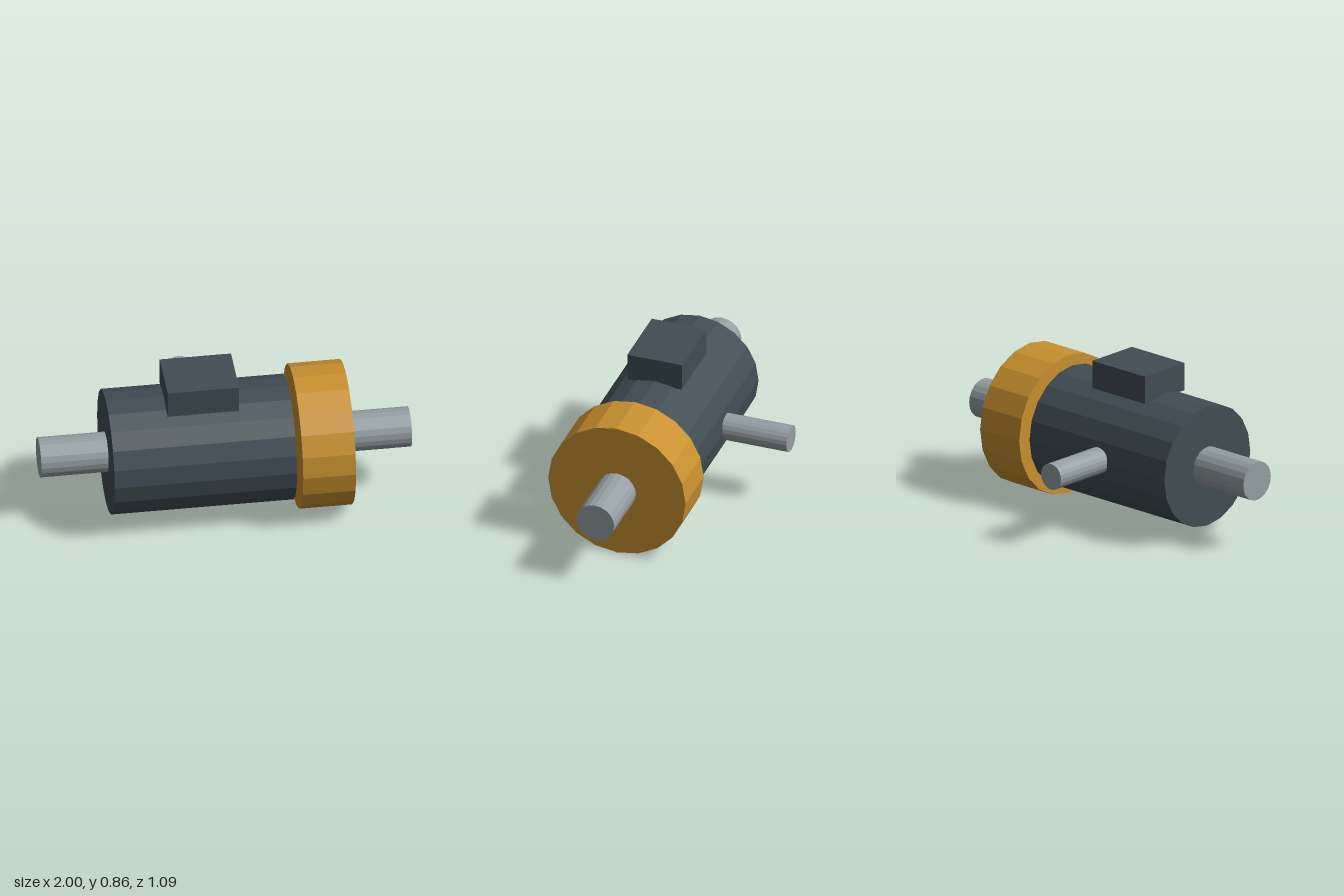
import * as THREE from 'three';

const AXIS_Y = 0.39, AXIS_Z = 0.154, SIDES = 20;

const paint = (color) => new THREE.MeshStandardMaterial({ color, flatShading: true });

export function createModel() {
  const model = new THREE.Group();
  const dark = paint(0x414d54), amber = paint(0xc8912f), steel = paint(0x959fa3);

  const add = (name, geometry, material) => {
    const mesh = new THREE.Mesh(geometry, material);
    mesh.name = name;
    model.add(mesh);
    return mesh;
  };

  // Faceted cylinder on the main axis, from x0 to x1
  const axial = (name, radius, x0, x1, material) => {
    const geometry = new THREE.CylinderGeometry(radius, radius, x1 - x0, SIDES);
    geometry.rotateZ(-Math.PI / 2);
    add(name, geometry, material).position.set((x0 + x1) / 2, AXIS_Y, AXIS_Z);
  };

  axial('body', 0.337, -0.637, 0.347, dark);
  axial('collar', 0.39, 0.373, 0.658, amber);
  axial('rightShaft', 0.108, -1, -0.637, steel);
  axial('leftShaft', 0.108, 0.658, 1, steel);

  // Side pipe leaving the back of the body
  const pipe = new THREE.CylinderGeometry(0.073, 0.073, 0.37, SIDES);
  pipe.rotateX(-Math.PI / 2);
  add('backPipe', pipe, steel).position.set(-0.147, AXIS_Y, -0.36);

  // Terminal box on top
  add('topBox', new THREE.BoxGeometry(0.385, 0.154, 0.31), dark).position.set(-0.133, 0.782, 0.156);

  return model;
}
